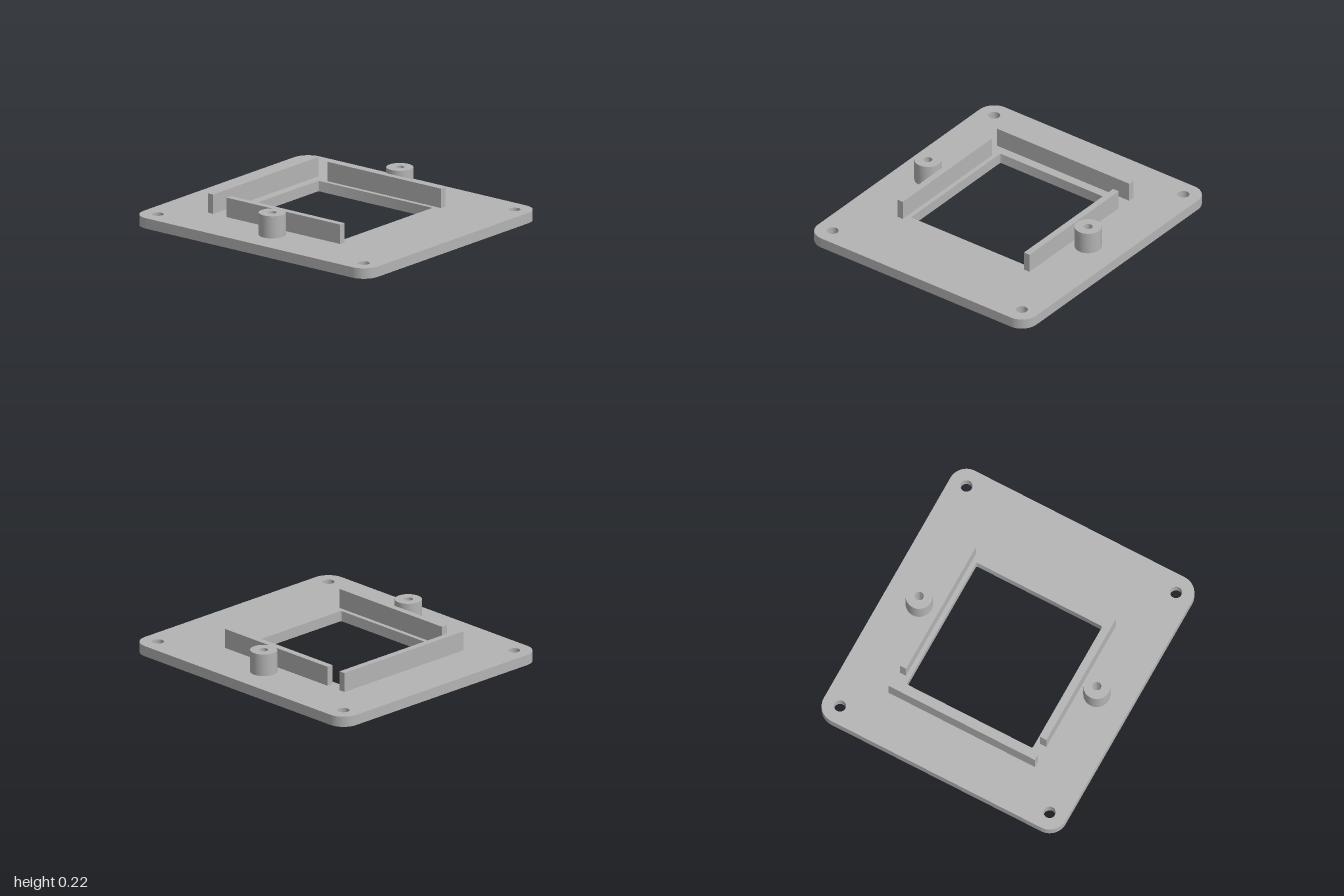
import * as THREE from 'three';
import { toCreasedNormals } from 'three/addons/utils/BufferGeometryUtils.js';

const PLATE_H = 0.072, WALL_TOP = 0.206, POST_TOP = 0.225;

// Rounded rectangle traced on a shape or path
function roundedRect(path, x0, y0, x1, y1, r) {
  path.moveTo(x0 + r, y0);
  path.lineTo(x1 - r, y0);
  path.absarc(x1 - r, y0 + r, r, -Math.PI / 2, 0, false);
  path.lineTo(x1, y1 - r);
  path.absarc(x1 - r, y1 - r, r, 0, Math.PI / 2, false);
  path.lineTo(x0 + r, y1);
  path.absarc(x0 + r, y1 - r, r, Math.PI / 2, Math.PI, false);
  path.lineTo(x0, y0 + r);
  path.absarc(x0 + r, y0 + r, r, Math.PI, Math.PI * 1.5, false);
  return path;
}

function circle(path, x, y, r) {
  path.absarc(x, y, r, 0, Math.PI * 2, false);
  return path;
}

// Extrude a plan shape (x, -z) upwards, smooth on curves and sharp on edges
function extrudeUp(shape, height) {
  const geo = new THREE.ExtrudeGeometry(shape, { depth: height, bevelEnabled: false, curveSegments: 20 });
  geo.rotateX(-Math.PI / 2);
  return toCreasedNormals(geo, 0.6);
}

export function createModel() {
  const group = new THREE.Group();
  const grey = new THREE.MeshStandardMaterial({ color: 0xb3b3b3 });
  grey.name = 'grey plastic';

  const add = (name, geo, x = 0, y = 0, z = 0) => {
    const mesh = new THREE.Mesh(geo, grey);
    mesh.name = name;
    mesh.position.set(x, y, z);
    group.add(mesh);
  };

  // Base plate with window and four corner screw holes
  const plate = roundedRect(new THREE.Shape(), -0.908, -1, 0.908, 1, 0.12);
  plate.holes.push(roundedRect(new THREE.Path(), -0.473, -0.437, 0.473, 0.535, 0.012));
  for (const x of [-0.787, 0.787])
    for (const z of [-0.879, 0.879])
      plate.holes.push(circle(new THREE.Path(), x, z, 0.04));
  add('basePlate', extrudeUp(plate, PLATE_H));

  // Retaining walls around three sides of the window
  const wallH = WALL_TOP - PLATE_H, wallY = PLATE_H + wallH / 2;
  add('backWall', new THREE.BoxGeometry(1.1, wallH, 0.046), 0, wallY, -0.622);

  // Side walls and hollow screw posts, mirrored
  const ring = circle(new THREE.Shape(), 0, 0, 0.09);
  ring.holes.push(circle(new THREE.Path(), 0, 0, 0.03));
  const postGeo = extrudeUp(ring, POST_TOP - PLATE_H);
  for (const [side, s] of [['left', 1], ['right', -1]]) {
    add(side + 'Wall', new THREE.BoxGeometry(0.046, wallH, 0.97), s * 0.527, wallY, 0);
    add(side + 'Post', postGeo, s * 0.667, PLATE_H, 0);
  }
  return group;
}
